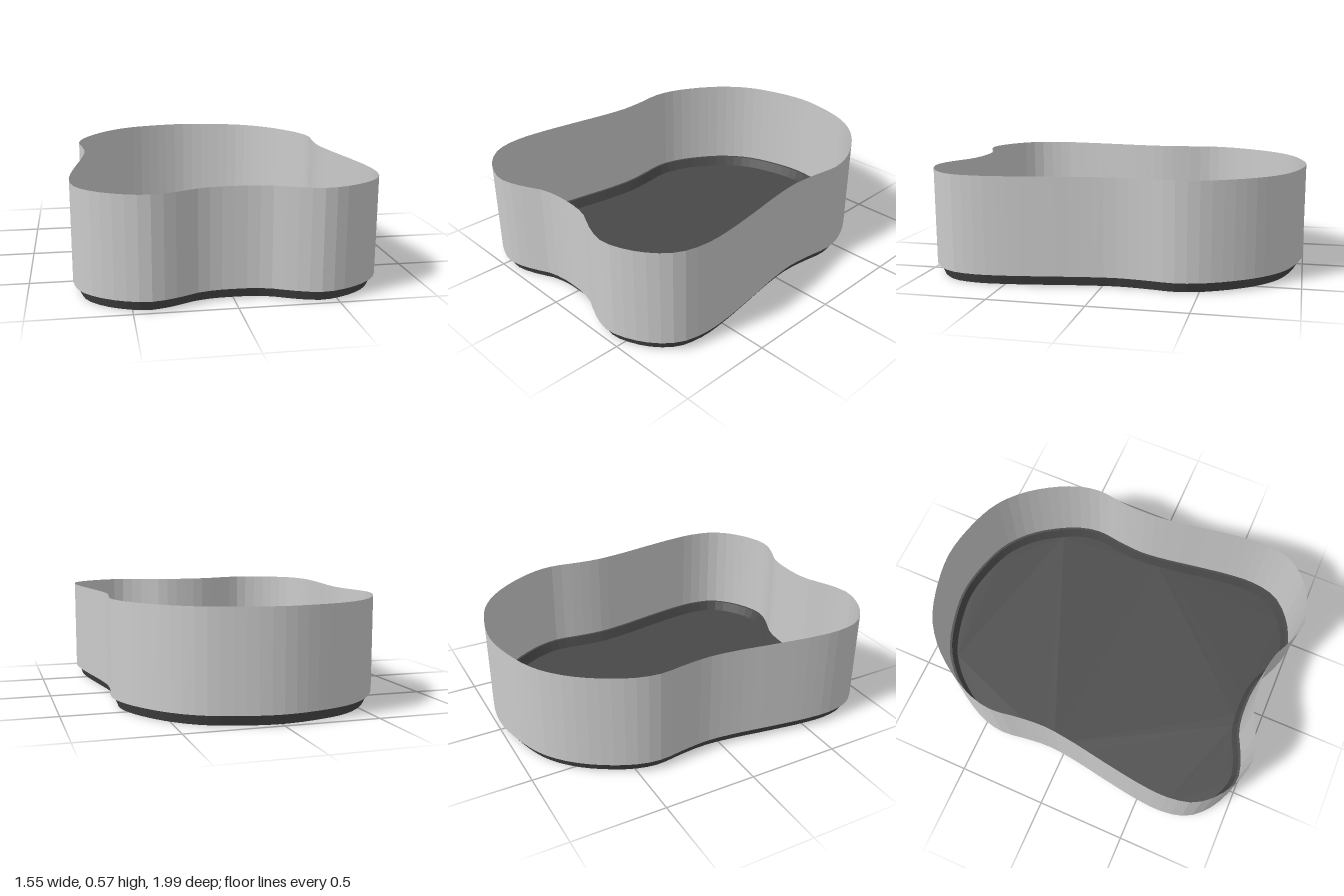
import * as THREE from 'three';

// Right half of the outline as [x, z], from the rounded back to the front notch
const HALF = [
  [0, -1], [0.2, -0.97], [0.38, -0.905], [0.51, -0.805], [0.615, -0.67], [0.695, -0.51],
  [0.72, -0.38], [0.7, -0.22], [0.69, -0.08], [0.705, 0.08], [0.74, 0.3], [0.768, 0.5],
  [0.775, 0.65], [0.745, 0.79], [0.67, 0.885], [0.55, 0.96], [0.42, 0.993],
  [0.29, 0.96], [0.17, 0.905], [0.08, 0.888], [0, 0.885],
];
const SEGMENTS = 100;

// Closed outline, pushed inwards by a distance along its normal
function makeOutline() {
  const mirrored = HALF.slice(1, -1).reverse().map(([x, z]) => [-x, z]);
  const points = [...HALF, ...mirrored].map(([x, z]) => new THREE.Vector3(x, 0, z));
  const curve = new THREE.CatmullRomCurve3(points, true);
  const samples = [];
  for (let i = 0; i < SEGMENTS; i++) {
    const p = curve.getPointAt(i / SEGMENTS);
    const t = curve.getTangentAt(i / SEGMENTS);
    samples.push({ p, nx: t.z, nz: -t.x });
  }
  return (inset) => samples.map(({ p, nx, nz }) => [p.x - nx * inset, p.z - nz * inset]);
}

// Skin between stacked loops given as [inset, y]
function loft(outline, levels) {
  const positions = [];
  const index = [];
  levels.forEach(([inset, y]) => outline(inset).forEach(([x, z]) => positions.push(x, y, z)));
  for (let l = 0; l < levels.length - 1; l++) {
    for (let i = 0; i < SEGMENTS; i++) {
      const a = l * SEGMENTS + i;
      const b = l * SEGMENTS + ((i + 1) % SEGMENTS);
      const c = a + SEGMENTS;
      const d = b + SEGMENTS;
      index.push(a, c, b, b, c, d);
    }
  }
  const geometry = new THREE.BufferGeometry();
  geometry.setAttribute('position', new THREE.Float32BufferAttribute(positions, 3));
  geometry.setIndex(index);
  geometry.computeVertexNormals();
  return geometry;
}

export function createModel() {
  const group = new THREE.Group();
  group.name = 'curvedTray';
  const outline = makeOutline();
  const wallMaterial = new THREE.MeshStandardMaterial({
    color: 0xcccccc, side: THREE.DoubleSide, flatShading: true,
  });
  const baseMaterial = new THREE.MeshStandardMaterial({
    color: 0x484848, side: THREE.DoubleSide, flatShading: true,
  });
  const add = (name, geometry, material) => {
    const mesh = new THREE.Mesh(geometry, material);
    mesh.name = name;
    group.add(mesh);
  };

  // Thin upright wall, open at the top
  add('wall', loft(outline, [[0, 0.055], [0, 0.57]]), wallMaterial);

  // Sloping rim of the base with a narrow ledge under the wall
  add('baseRim', loft(outline, [[0.037, 0], [0.014, 0.055], [0, 0.055]]), baseMaterial);

  // Flat floor
  const shape = new THREE.Shape(outline(0.037).map(([x, z]) => new THREE.Vector2(x, -z)));
  add('floor', new THREE.ShapeGeometry(shape).rotateX(-Math.PI / 2), baseMaterial);

  return group;
}
